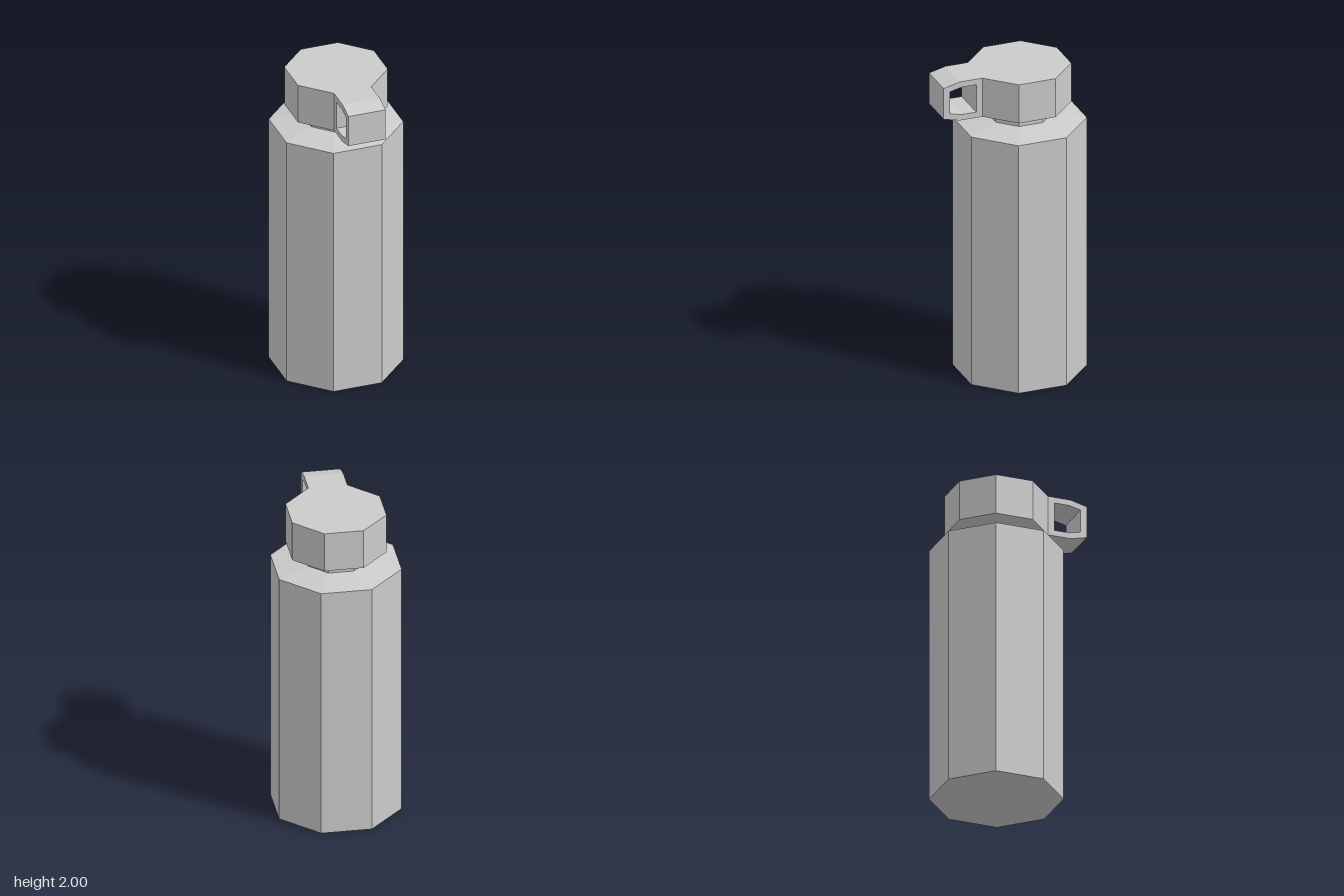
import * as THREE from 'three';

const SIDES = 8;
const AXIS_X = -0.07;
const CAP_R = 0.31, CAP_BOTTOM = 1.745, TOP = 2;

export function createModel() {
  const material = new THREE.MeshStandardMaterial({ color: 0xcccccc, flatShading: true });
  const model = new THREE.Group();
  model.name = 'bottle';

  const add = (name, geometry) => {
    const mesh = new THREE.Mesh(geometry, material);
    mesh.name = name;
    mesh.position.x = AXIS_X;
    model.add(mesh);
    return mesh;
  };
  // Eight-sided turned part from [radius, height] pairs, bottom to top
  const turned = (name, profile) =>
    add(name, new THREE.LatheGeometry(profile.map(([r, y]) => new THREE.Vector2(r, y)), SIDES));

  // Body with shallow shoulder
  turned('body', [[0, 0], [0.403, 0], [0.403, 1.64], [0.2, 1.672]]);
  // Narrow neck
  turned('neck', [[0.2, 1.672], [0.2, 1.715]]);
  // Screw cap with sloping underside
  turned('cap', [[0.2, 1.715], [CAP_R, CAP_BOTTOM], [CAP_R, TOP], [0, TOP]]);

  // Carry loop growing from one flat of the cap: chamfered outline with a matching hole
  const half = Math.PI / SIDES;
  const inner = CAP_R * Math.cos(half);
  const width = 2 * CAP_R * Math.sin(half);
  const outline = (start, bend, end, low, high, drop) => [
    [start, low], [bend, low], [end, low + drop],
    [end, high - drop], [bend, high], [start, high],
  ].map(([t, y]) => new THREE.Vector2(inner + t, y));

  const shape = new THREE.Shape(outline(0, 0.145, 0.25, CAP_BOTTOM, TOP, 0.026));
  shape.holes.push(new THREE.Path(outline(0.04, 0.135, 0.21, 1.782, 1.963, 0.018)));
  const loop = new THREE.ExtrudeGeometry(shape, { depth: width, bevelEnabled: false });
  loop.translate(0, 0, -width / 2);
  add('carryLoop', loop).rotation.y = -half;

  return model;
}
